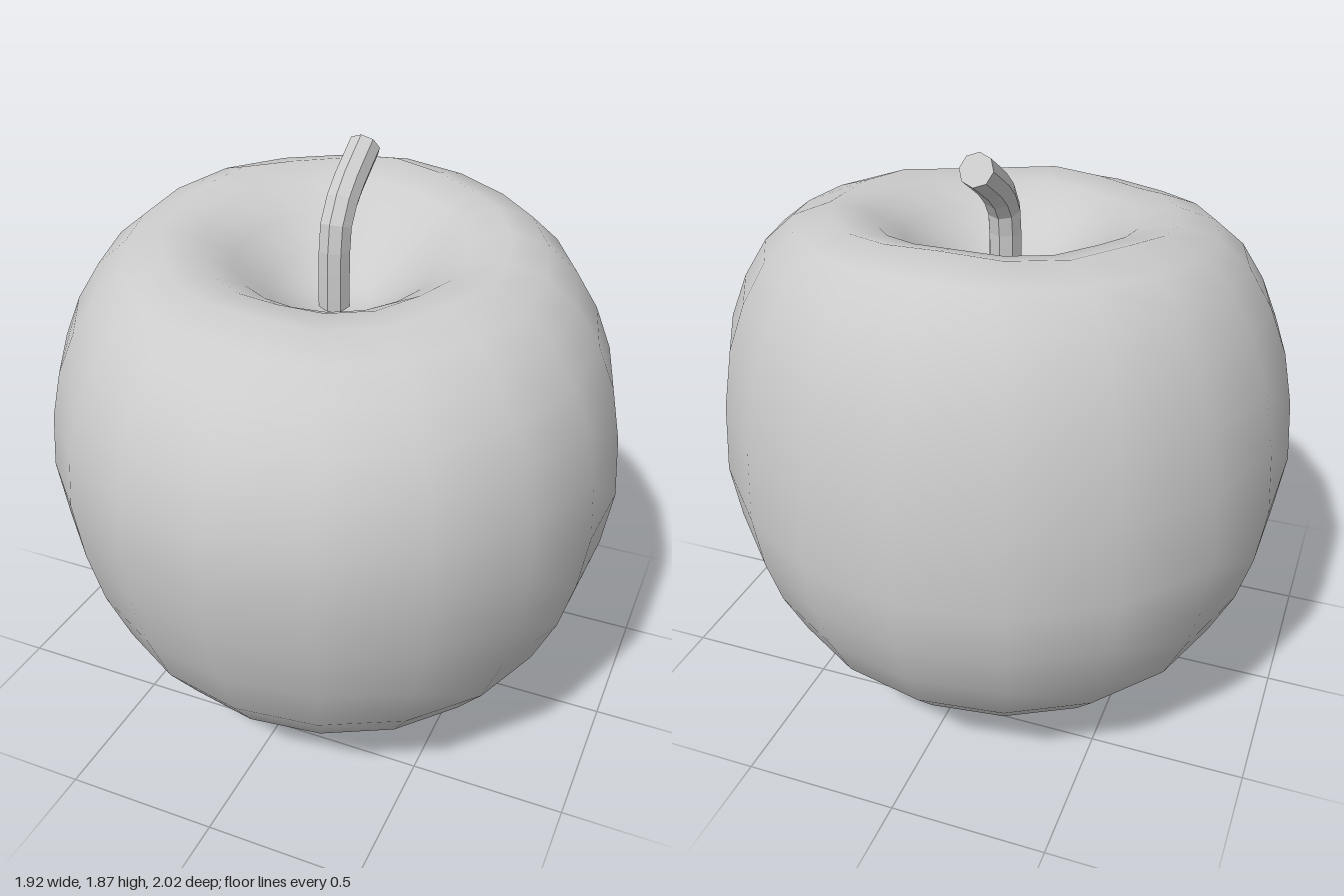
import * as THREE from 'three';
import { mergeVertices } from 'three/addons/utils/BufferGeometryUtils.js';

const material = new THREE.MeshStandardMaterial({ color: 0xcccccc });
const stemMaterial = new THREE.MeshStandardMaterial({ color: 0xcccccc, flatShading: true });

// Lathed fruit, made slightly oval and lopsided
function createBody() {
  const profile = [
    [0, 0], [0.2, 0.01], [0.45, 0.06], [0.61, 0.13], [0.73, 0.22], [0.84, 0.35],
    [0.92, 0.52], [0.97, 0.69], [1, 0.88], [0.985, 1.08], [0.95, 1.25], [0.89, 1.39],
    [0.81, 1.51], [0.71, 1.59], [0.58, 1.63], [0.45, 1.605], [0.34, 1.54],
    [0.24, 1.46], [0.13, 1.39], [0, 1.36],
  ].map(([r, y]) => new THREE.Vector2(r, y));
  const lathe = new THREE.LatheGeometry(profile, 20, THREE.MathUtils.degToRad(2));
  lathe.deleteAttribute('uv');
  lathe.deleteAttribute('normal');
  const geometry = mergeVertices(lathe);
  const pos = geometry.attributes.position;
  for (let i = 0; i < pos.count; i++) {
    let x = pos.getX(i), y = pos.getY(i), z = pos.getZ(i);
    const angle = Math.atan2(x, z);
    const radius = Math.hypot(x, z);
    // Oval plan, longest along one diagonal
    const stretch = 0.987 + 0.048 * Math.cos(2 * (angle - 0.55));
    x *= stretch;
    z *= stretch;
    // Equator rises towards the front, top rim falls towards the front
    const slope = y < 0.85 ? 0.08 * y / 0.85 : 0.08 - 0.17 * (y - 0.85) / 0.75;
    const top = THREE.MathUtils.smoothstep(y, 1.2, 1.6);
    const rim = top * Math.exp(-Math.pow((radius - 0.56) / 0.15, 2));
    y += slope * z - 0.02 * top * x + 0.011 * rim * Math.cos(6 * angle);
    pos.setXYZ(i, x - 0.005, y, z);
  }
  geometry.computeVertexNormals();
  const body = new THREE.Mesh(geometry, material);
  body.name = 'fruitBody';
  return body;
}

// Bent stem leaning towards the back, with a flat cut end
function createStem() {
  const path = new THREE.CatmullRomCurve3([
    [1.33, -0.025], [1.5, -0.025], [1.64, -0.04], [1.72, -0.105], [1.828, -0.27],
  ].map(([y, z]) => new THREE.Vector3(-0.018, y, z)));
  const stem = new THREE.Group();
  stem.name = 'stem';
  const stalk = new THREE.Mesh(new THREE.TubeGeometry(path, 8, 0.054, 8), stemMaterial);
  stalk.name = 'stalk';
  const cut = new THREE.Mesh(new THREE.CircleGeometry(0.054, 8), stemMaterial);
  cut.name = 'stemEnd';
  const end = path.getPoint(1);
  cut.position.copy(end);
  cut.lookAt(end.clone().add(path.getTangent(1)));
  stem.add(stalk, cut);
  return stem;
}

export function createModel() {
  const model = new THREE.Group();
  model.name = 'apple';
  model.add(createBody(), createStem());
  return model;
}
